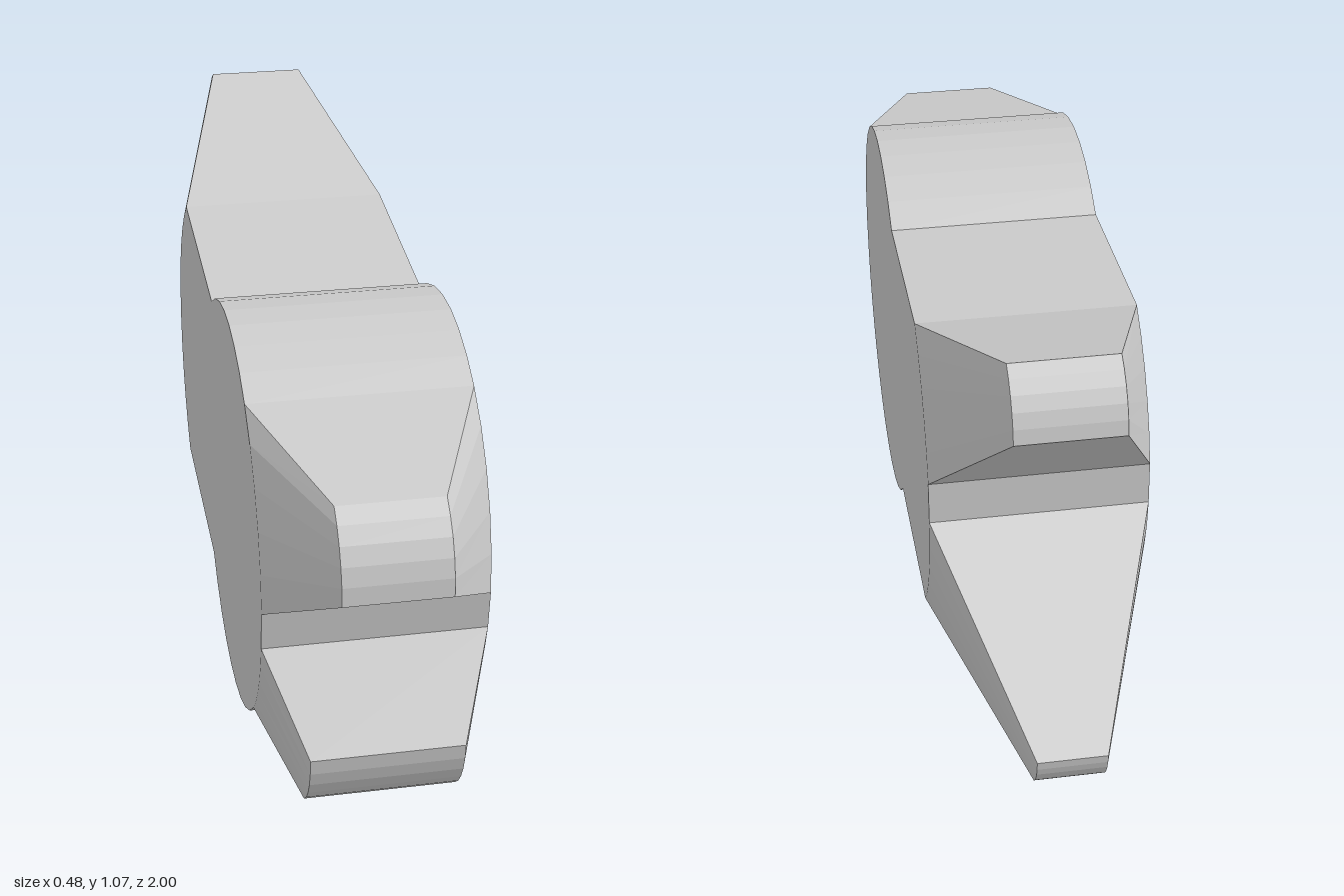
import * as THREE from 'three';

const HALF = 0.24; // half thickness of the body
const material = new THREE.MeshStandardMaterial({ color: 0xcccccc, flatShading: true });

// Points [z, y] on an arc from p to q, bulging to the right of the direction of travel
function arc(p, q, r, n) {
  const dz = q[0] - p[0], dy = q[1] - p[1], len = Math.hypot(dz, dy);
  const drop = Math.sqrt(r * r - len * len / 4);
  const cz = (p[0] + q[0]) / 2 - (dy / len) * drop;
  const cy = (p[1] + q[1]) / 2 + (dz / len) * drop;
  const start = Math.atan2(p[1] - cy, p[0] - cz), sweep = 2 * Math.asin(len / 2 / r);
  return Array.from({ length: n + 1 }, (_, i) => {
    const a = start + sweep * i / n;
    return [cz + r * Math.cos(a), cy + r * Math.sin(a)];
  });
}

// Tapered limb between a wide arc on the body and a narrow rounded tip
function limb(name, base, tip, tipHalf) {
  const pos = [], n = base.length - 1;
  const B = (i, s) => [s * HALF, base[i][1], base[i][0]];
  const T = (i, s) => [s * tipHalf, tip[i][1], tip[i][0]];
  const quad = (a, b, c, d) => pos.push(...a, ...b, ...c, ...a, ...c, ...d);
  for (let i = 0; i < n; i++) {
    quad(B(i, -1), T(i, -1), T(i + 1, -1), B(i + 1, -1)); // right side
    quad(B(i + 1, 1), T(i + 1, 1), T(i, 1), B(i, 1)); // left side
    quad(T(i, -1), T(i, 1), T(i + 1, 1), T(i + 1, -1)); // tip
  }
  quad(B(0, -1), B(0, 1), T(0, 1), T(0, -1));
  quad(T(n, -1), T(n, 1), B(n, 1), B(n, -1));
  const geo = new THREE.BufferGeometry();
  geo.setAttribute('position', new THREE.Float32BufferAttribute(pos, 3));
  geo.computeVertexNormals();
  const mesh = new THREE.Mesh(geo, material);
  mesh.name = name;
  return mesh;
}

export function createModel() {
  const group = new THREE.Group();
  const N = 5, R1 = 0.457, R2 = 0.47;

  // Arcs where the limbs meet the body
  const frontLow = arc([0.665, 0.135], [0.79, 0.37], R1, N);
  const frontUp = arc([0.8, 0.46], [0.6, 0.84], R1, N);
  const rearUp = arc([-0.37, 0.885], [-0.56, 0.6], R2, N);
  const rearLow = arc([-0.565, 0.5], [-0.44, 0.18], R2, N);

  // Body: round front joined to a smaller rounded rear, as one thick slab
  const outline = [
    ...frontLow, ...frontUp,
    ...arc([0.6, 0.84], [0.09, 0.84], R1, 7).slice(1),
    ...rearUp, ...rearLow,
    ...arc([0.02, 0.14], [0.665, 0.135], 0.453, 9).slice(0, -1),
  ];
  const shape = new THREE.Shape(outline.map(([z, y]) => new THREE.Vector2(z, y)));
  const geo = new THREE.ExtrudeGeometry(shape, { depth: 2 * HALF, bevelEnabled: false });
  geo.translate(0, 0, -HALF).rotateY(-Math.PI / 2);
  const body = new THREE.Mesh(geo, material);
  body.name = 'body';

  group.add(
    body,
    limb('frontLowerLimb', frontLow, arc([0.86, 0.03], [0.94, 0.185], 0.2, N), 0.163),
    limb('frontUpperLimb', frontUp, arc([1, 0.59], [0.91, 0.765], 0.206, N), 0.112),
    limb('rearUpperLimb', rearUp, arc([-0.81, 1.07], [-0.9, 0.94], 0.166, N), 0.112),
    limb('rearLowerLimb', rearLow, arc([-1, 0.19], [-0.96, 0.1], 0.125, N), 0.075),
  );
  return group;
}
